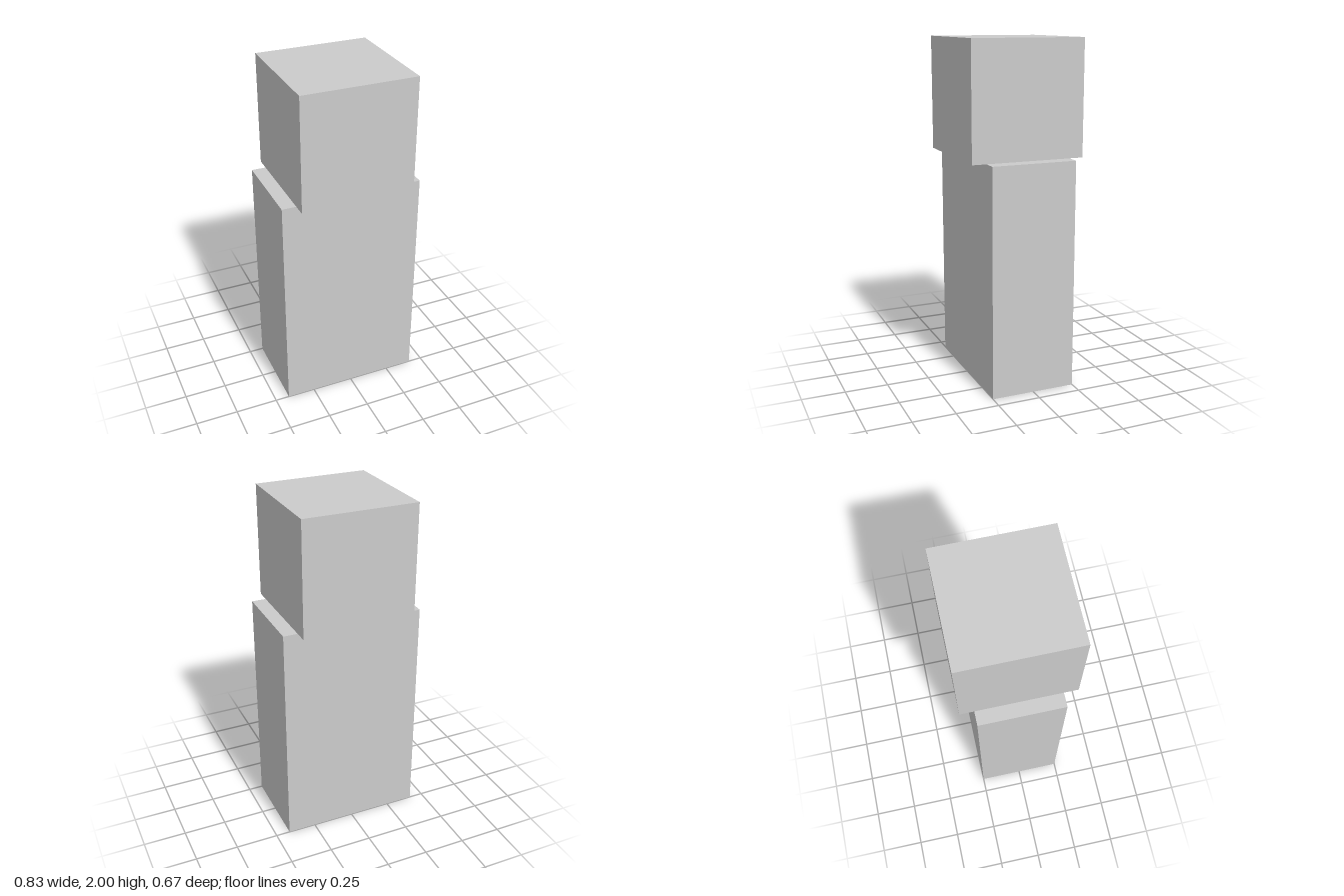
import * as THREE from 'three';

export function createModel() {
  const group = new THREE.Group();
  const material = new THREE.MeshStandardMaterial({ color: 0xcccccc, flatShading: true });

  // Adds a box centred on x and z, with its underside at the given height
  function addBlock(name, width, height, depth, bottom) {
    const mesh = new THREE.Mesh(new THREE.BoxGeometry(width, height, depth), material);
    mesh.name = name;
    mesh.position.y = bottom + height / 2;
    group.add(mesh);
  }

  const bodyHeight = 4 / 3;
  const headSize = 2 / 3;

  // Wide, shallow body
  addBlock('body', 5 / 6, bodyHeight, 0.5, 0);
  // Cubic head resting on the body, overhanging front and back
  addBlock('head', headSize, headSize, headSize, bodyHeight);

  return group;
}
